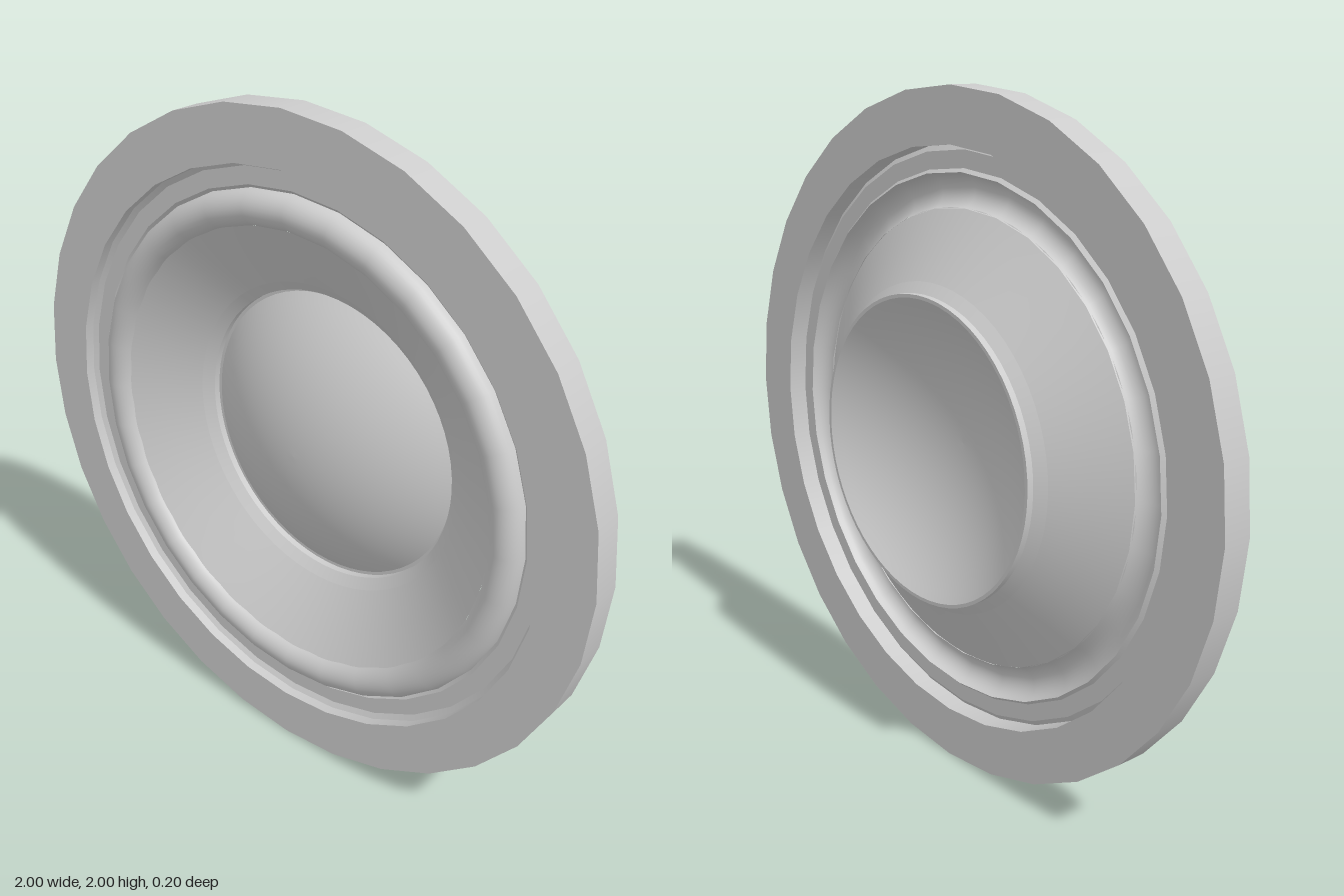
import * as THREE from 'three';

const material = new THREE.MeshStandardMaterial({ color: 0xcccccc, side: THREE.DoubleSide });

// Revolve a list of [radius, z] points around the front-facing axis.
function revolve(name, points, segments) {
  const geometry = new THREE.LatheGeometry(points.map(([r, z]) => new THREE.Vector2(r, z)), segments);
  geometry.rotateX(Math.PI / 2);
  const mesh = new THREE.Mesh(geometry, material);
  mesh.name = name;
  return mesh;
}

// Points of an arc around (r, z), angles in radians.
function arc(r, z, radius, from, to, steps) {
  return Array.from({ length: steps + 1 }, (_, i) => {
    const a = from + (to - from) * i / steps;
    return [Math.max(0, r + radius * Math.cos(a)), z + radius * Math.sin(a)];
  });
}

// One surface per straight piece of profile, so its corners stay sharp.
function creased(name, points, segments) {
  const group = new THREE.Group();
  group.name = name;
  for (let i = 0; i + 1 < points.length; i++) {
    group.add(revolve(name + 'Face' + (i + 1), [points[i], points[i + 1]], segments));
  }
  return group;
}

export function createModel() {
  const model = new THREE.Group();
  model.name = 'speakerDriver';

  // Flat mounting ring
  model.add(creased('mountingRing',
    [[0.845, 0.01], [1, 0.01], [1, 0.1], [0.845, 0.1], [0.845, 0.01]], 32));

  // Flange of the surround, glued inside the ring
  model.add(creased('surroundFlange',
    [[0.845, 0.07], [0.83, 0.06], [0.78, 0.06], [0.77, 0.05]], 32));

  // Half-round flexible roll, bulging forward
  model.add(revolve('surroundRoll', arc(0.72, 0.05, 0.05, 0, Math.PI * 0.92, 14), 32));

  // Cone narrowing towards the back
  model.add(revolve('cone', [[0.672, 0.067], [0.58, 0.01], [0.48, -0.056]], 64));

  // Neck between cone and dome
  model.add(creased('coneNeck',
    [[0.48, -0.056], [0.45, -0.08], [0.45, -0.1], [0.44, -0.1]], 64));

  // Shallow dust cap, bulging forward
  const rim = 0.44, height = 0.16;
  const radius = (rim * rim + height * height) / (2 * height);
  const start = Math.acos(rim / radius);
  model.add(revolve('dustCap',
    arc(0, -0.1 + height - radius, radius, start, Math.PI / 2, 16), 64));

  model.position.y = 1;
  const root = new THREE.Group();
  root.add(model);
  return root;
}
